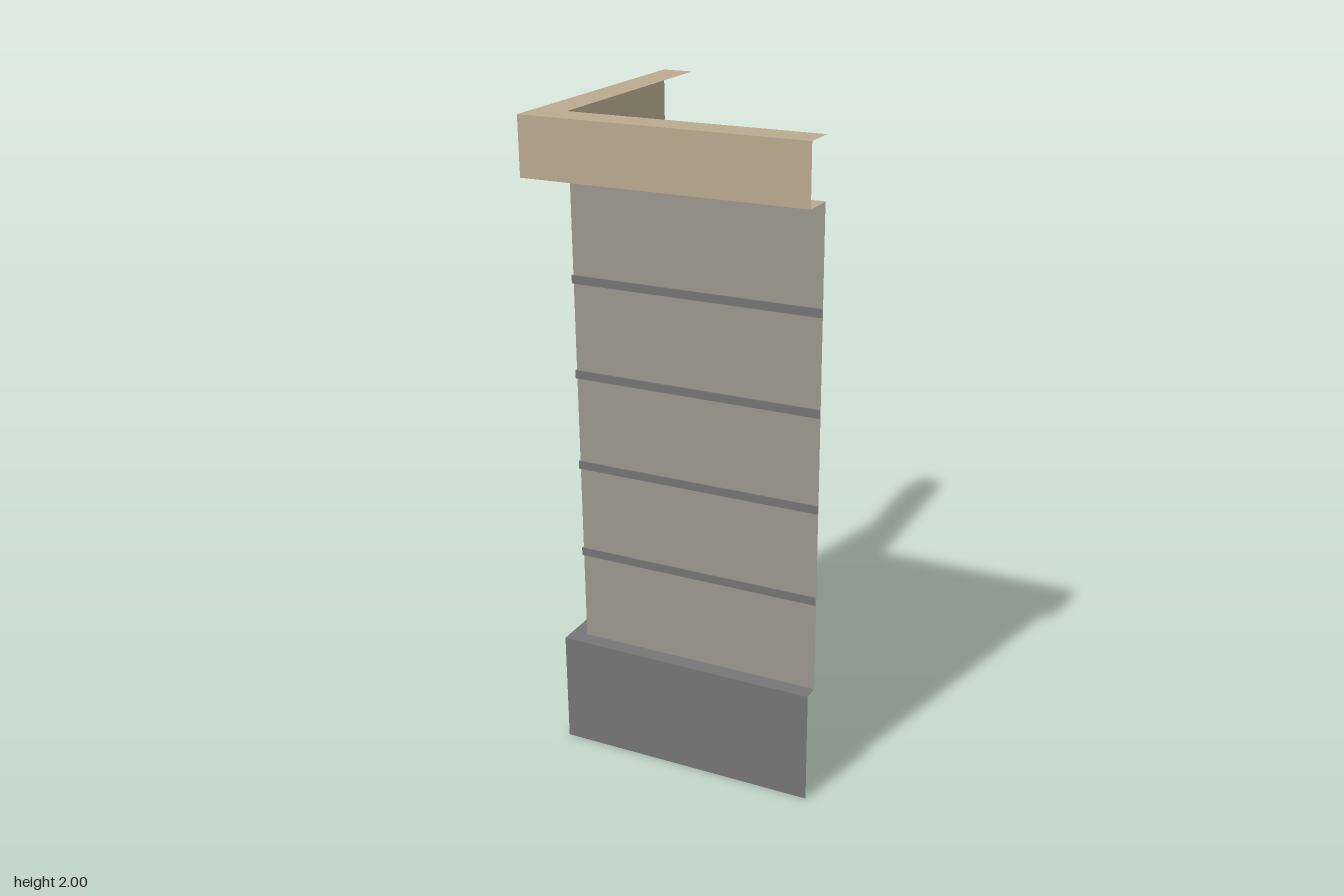
import * as THREE from 'three';

const WALL = 0.337; // distance of the wall sheets from the centre
const END = 0.437;  // where both legs of the L stop

// Sweeps a profile of [outward offset, height] points round the mitred L corner.
function sweepCorner(profile) {
  const positions = [];
  const quad = (a, b, c, d) => positions.push(...a, ...b, ...c, ...a, ...c, ...d);
  const path = ([offset, y]) => {
    const r = WALL + offset;
    return [[-r, y, -END], [-r, y, r], [END, y, r]]; // back end, corner, front end
  };
  for (let i = 0; i < profile.length - 1; i++) {
    const lower = path(profile[i]);
    const upper = path(profile[i + 1]);
    for (let leg = 0; leg < 2; leg++) {
      quad(lower[leg], lower[leg + 1], upper[leg + 1], upper[leg]);
    }
  }
  const geometry = new THREE.BufferGeometry();
  geometry.setAttribute('position', new THREE.Float32BufferAttribute(positions, 3));
  geometry.computeVertexNormals();
  return geometry;
}

function material(name, color) {
  const m = new THREE.MeshStandardMaterial({ color, side: THREE.DoubleSide });
  m.name = name;
  return m;
}

export function createModel() {
  const group = new THREE.Group();
  group.name = 'cornerWall';

  const stone = material('wall stone', 0x9a968c);
  const plinthGrey = material('plinth grey', 0x757575);
  const jointGrey = material('joint grey', 0x737375);
  const sand = material('cornice sand', 0xb8a88e);

  const add = (name, profile, mat) => {
    const mesh = new THREE.Mesh(sweepCorner(profile), mat);
    mesh.name = name;
    group.add(mesh);
  };

  // Plinth with a flat ledge back to the wall
  add('plinth', [[0.05, 0], [0.05, 0.354], [0, 0.354]], plinthGrey);

  // Plain wall sheets
  add('wall', [[0, 0.354], [0, 1.824]], stone);

  // Four thin joint bands on the outer faces
  for (let i = 0; i < 4; i++) {
    const y = 0.646 + i * 0.2905;
    const h = 0.0125;
    const t = 0.004;
    add(`jointBand${i + 1}`, [[0, y - h], [t, y - h], [t, y + h], [0, y + h]], jointGrey);
  }

  // Cornice, a channel open towards the inside
  add('cornice', [[0, 1.824], [0.1, 1.824], [0.1, 2], [0, 2]], sand);

  return group;
}
